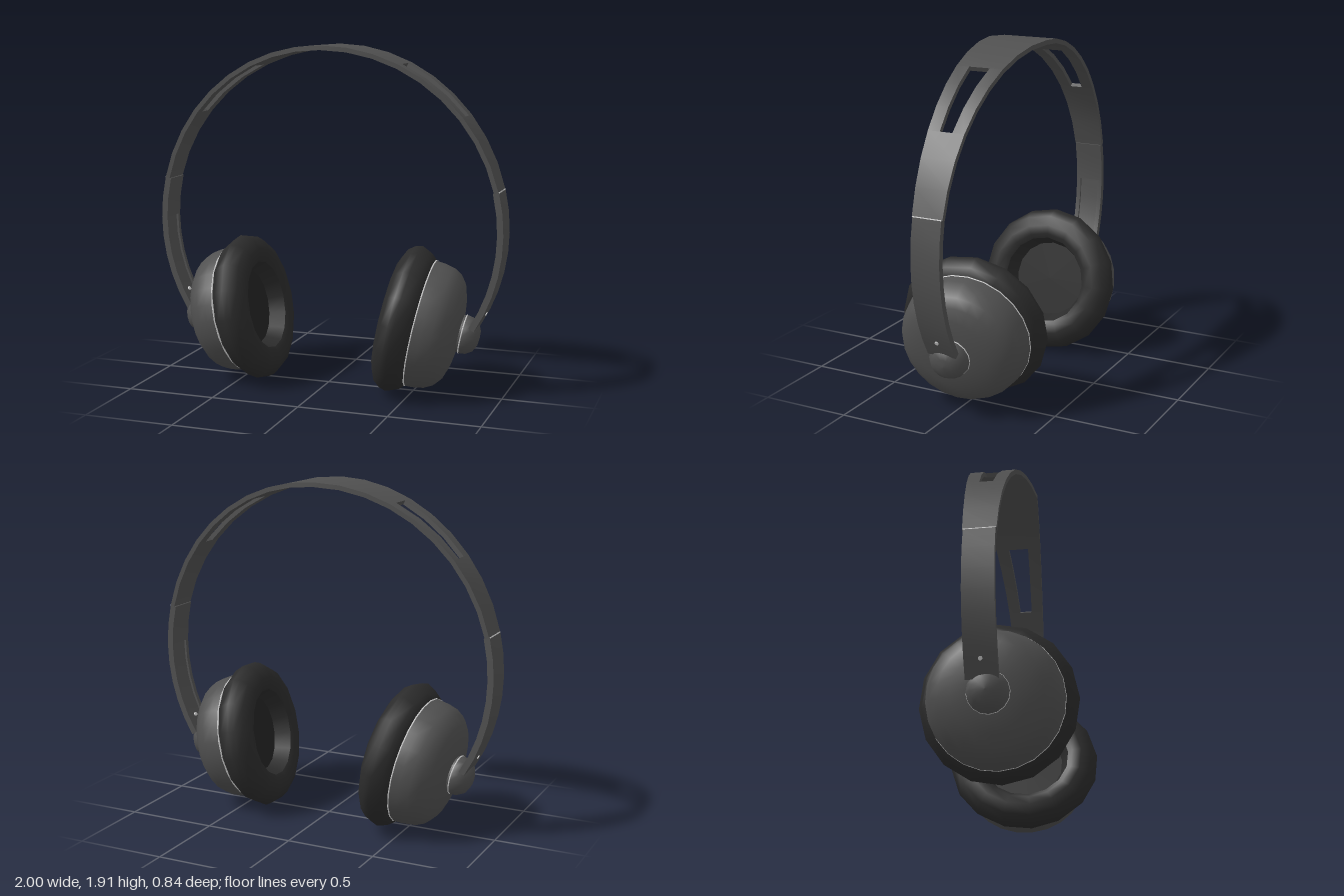
import * as THREE from 'three';
import { mergeGeometries, toCreasedNormals } from 'three/addons/utils/BufferGeometryUtils.js';

const material = (name, color) => {
  const m = new THREE.MeshStandardMaterial({ color });
  m.name = name;
  return m;
};

const BAND_Y = 0.905; // centre of the headband arc
const BAND_Z = -0.02;
const JOINT = 13.6; // angle where band meets arm, in degrees
const STEP = (180 - 2 * JOINT) / 18;

// Curved bar along an arc; lo(x) and hi(x) give its z edges
function strip(from, to, steps, rIn, rOut, lo, hi) {
  const pos = [], idx = [];
  for (let i = 0; i <= steps; i++) {
    const a = THREE.MathUtils.degToRad(from + ((to - from) * i) / steps);
    const c = Math.cos(a), s = Math.sin(a), x = Math.abs(c);
    for (const [r, z] of [[rIn, lo(x)], [rOut, lo(x)], [rOut, hi(x)], [rIn, hi(x)]]) {
      pos.push(r * c, BAND_Y + r * s, BAND_Z + z);
    }
  }
  for (let i = 0; i < steps; i++) {
    for (let k = 0; k < 4; k++) {
      const a = i * 4 + k, b = i * 4 + ((k + 1) % 4);
      idx.push(a, b + 4, b, a, a + 4, b + 4);
    }
  }
  const e = steps * 4;
  idx.push(0, 1, 2, 0, 2, 3, e, e + 2, e + 1, e, e + 3, e + 2);
  const g = new THREE.BufferGeometry();
  g.setAttribute('position', new THREE.Float32BufferAttribute(pos, 3));
  g.setIndex(idx);
  return g;
}

const join = (parts) => toCreasedNormals(mergeGeometries(parts), 0.5);

function lathe(name, points, segments, mat) {
  const g = new THREE.LatheGeometry(points.map(([r, y]) => new THREE.Vector2(r, y)), segments);
  const mesh = new THREE.Mesh(g, mat);
  mesh.name = name;
  return mesh;
}

export function createModel() {
  const model = new THREE.Group();
  model.name = 'headphones';
  const plastic = material('grey plastic', 0x505050);
  const cushion = material('dark cushion', 0x2b2b2b);
  const fabric = material('black fabric', 0x222222);
  const metal = material('light metal', 0xd0d0d0);
  const add = (name, geometry, mat) => {
    const mesh = new THREE.Mesh(geometry, mat);
    mesh.name = name;
    model.add(mesh);
    return mesh;
  };

  // Headband: wide at the crown, with a tapering slot on each side
  const edge = (x) => 0.173 - 0.088 * x;
  const slot = (x) => 0.089 - 0.068 * x;
  const neg = (f) => (x) => -f(x);
  const at = (k) => JOINT + STEP * k;
  const full = (a, b) => strip(at(a), at(b), b - a, 0.975, 1, neg(edge), edge);
  const rails = (a, b) => [
    strip(at(a), at(b), b - a, 0.975, 1, neg(edge), neg(slot)),
    strip(at(a), at(b), b - a, 0.975, 1, slot, edge),
  ];
  add('headband', join([full(0, 3), ...rails(3, 6), full(6, 12), ...rails(12, 15), full(15, 18)]), plastic);

  // Arms: solid at the top, grooved on the inside further down
  const flat = (v) => () => v;
  const W = 0.083;
  for (const s of [1, -1]) {
    const side = s > 0 ? 'left' : 'right';
    const arc = (a, b, n, r0, r1, lo, hi) => s > 0
      ? strip(b, a, n, r0, r1, flat(lo), flat(hi))
      : strip(180 - a, 180 - b, n, r0, r1, flat(lo), flat(hi));
    add(side + 'Arm', join([
      arc(JOINT, 0, 2, 0.968, 1.002, -W, W),
      arc(0, -32, 5, 0.98, 1.002, -W, W),
      arc(0, -32, 5, 0.968, 0.98, -W, -W + 0.025),
      arc(0, -32, 5, 0.968, 0.98, W - 0.025, W),
    ]), plastic);

    // Bright line at the joint
    add(side + 'JointTrim', join([arc(JOINT + 0.15, JOINT - 0.15, 1, 0.997, 1.003, -W, W)]), metal);

    // Pin through the arm
    const pin = add(side + 'Pin', new THREE.CylinderGeometry(0.011, 0.011, 0.036, 12), metal);
    const a = THREE.MathUtils.degToRad(-26.2);
    pin.position.set(s * 0.988 * Math.cos(a), BAND_Y + 0.988 * Math.sin(a), BAND_Z);
    pin.rotation.z = s > 0 ? a - Math.PI / 2 : Math.PI / 2 - a;

    // Ear cup, turned about its outward axis
    const cup = new THREE.Group();
    cup.name = side + 'EarCup';
    cup.add(
      lathe('shell', [[0.357, 0], [0.353, 0.05], [0.341, 0.105], [0.315, 0.15], [0.27, 0.185],
        [0.2, 0.208], [0.11, 0.222], [0, 0.226]], 24, plastic),
      lathe('shellTrim', [[0.35, -0.003], [0.359, -0.002], [0.359, 0.004], [0.355, 0.005]], 24, metal),
      lathe('knob', [[0.1, 0.2], [0.109, 0.24], [0.104, 0.275], [0.08, 0.31], [0.042, 0.328],
        [0, 0.332]], 16, plastic),
      lathe('knobTrim', [[0.105, 0.233], [0.111, 0.234], [0.111, 0.24], [0.105, 0.241]], 16, metal),
      lathe('earPad', [[0.25, -0.168], [0.275, -0.182], [0.325, -0.19], [0.378, -0.165],
        [0.408, -0.125], [0.417, -0.09], [0.392, -0.035], [0.365, -0.007], [0.33, 0]], 16, cushion),
      lathe('padWell', [[0.215, -0.08], [0.25, -0.168]], 16, cushion),
      lathe('padLining', [[0, -0.08], [0.215, -0.08]], 16, fabric),
    );
    const outward = new THREE.Vector3(s * 0.978, -0.208, s > 0 ? -0.1 : -0.01).normalize();
    cup.quaternion.setFromUnitVectors(new THREE.Vector3(0, 1, 0), outward);
    cup.position.set(s * 0.54, 0.387, 0);
    model.add(cup);
  }
  return model;
}
